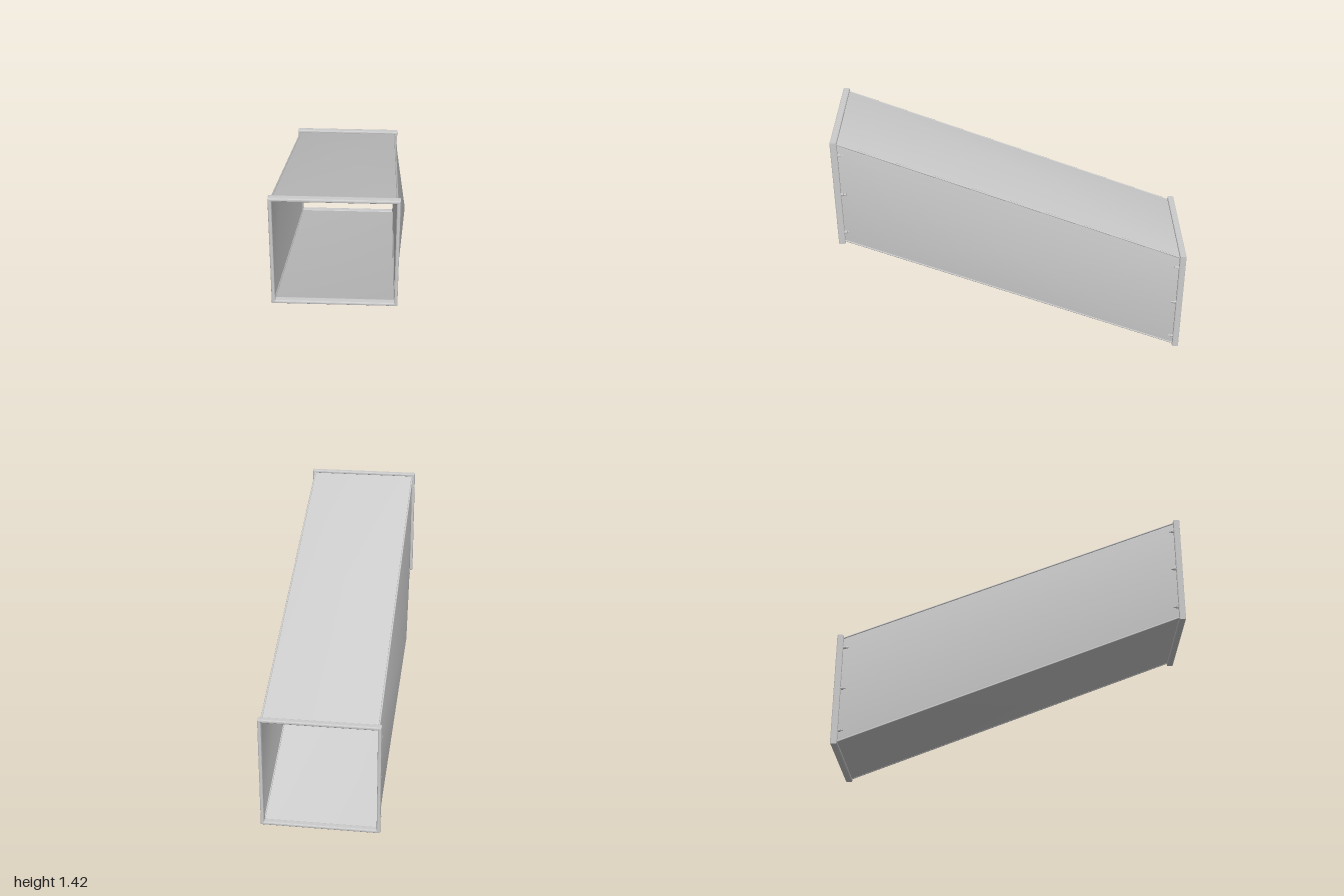
import * as THREE from 'three';

const HALF = 0.315;        // half width of the duct
const MID = 0.71;          // height of the duct centre
const RISE = 0.378;        // offset of each end opening from the centre
const END = 0.965;         // z where the panels meet the end frames
const BULGE = 0.06;        // outward swell at the centre of each panel

const steel = new THREE.MeshStandardMaterial({ color: 0xcccccc, side: THREE.DoubleSide });

function add(parent, name, geometry, x = 0, y = 0, z = 0) {
  const mesh = new THREE.Mesh(geometry, steel);
  mesh.name = name;
  mesh.position.set(x, y, z);
  parent.add(mesh);
  return mesh;
}

// Corner of the duct; sx, sy, sz are each -1 or 1
const corner = (sx, sy, sz) =>
  new THREE.Vector3(sx * HALF, MID + sz * RISE + sy * HALF, sz * END);

// Shallow pyramid panel between two neighbouring long edges
function panel(a, b) {
  const peak = new THREE.Vector3(a[0] + b[0], a[1] + b[1], 0)
    .multiplyScalar(0.5 * (HALF + BULGE));
  peak.y += MID;
  const points = [corner(...a, 1), corner(...b, 1), corner(...b, -1), corner(...a, -1), peak];
  const geometry = new THREE.BufferGeometry().setFromPoints(points);
  geometry.setIndex([0, 4, 1, 1, 4, 2, 2, 4, 3, 3, 4, 0]);
  geometry.computeVertexNormals();
  return geometry;
}

function squarePath(path, half) {
  path.moveTo(-half, -half);
  path.lineTo(half, -half);
  path.lineTo(half, half);
  path.lineTo(-half, half);
  path.closePath();
  return path;
}

// Square end frame with softened edges
function frameGeometry() {
  const bevel = 0.007;
  const shape = squarePath(new THREE.Shape(), 0.331 - bevel);
  shape.holes.push(squarePath(new THREE.Path(), 0.312 + bevel));
  const geometry = new THREE.ExtrudeGeometry(shape, {
    depth: 0.038 - 2 * bevel, bevelSize: bevel, bevelThickness: bevel, bevelSegments: 3,
  });
  return geometry.center();
}

export function createModel() {
  const model = new THREE.Group();
  model.name = 'offsetDuct';

  // Four swollen panels and a folded seam along each corner
  const corners = [[1, 1], [-1, 1], [-1, -1], [1, -1]];
  const names = ['topPanel', 'rightPanel', 'bottomPanel', 'leftPanel'];
  corners.forEach((c, i) => {
    add(model, names[i], panel(corners[(i + 1) % 4], c));
    const edge = new THREE.LineCurve3(corner(...c, 1), corner(...c, -1));
    add(model, 'cornerSeam', new THREE.TubeGeometry(edge, 1, 0.005, 8));
  });

  // End frames, with three bolts behind each side
  const frame = frameGeometry();
  const nut = new THREE.CylinderGeometry(0.009, 0.009, 0.012, 6).rotateX(Math.PI / 2);
  const shank = new THREE.CylinderGeometry(0.005, 0.005, 0.032, 10).rotateX(Math.PI / 2);
  for (const sz of [1, -1]) {
    const y = MID + sz * RISE;
    const end = new THREE.Group();
    end.name = sz > 0 ? 'frontEnd' : 'backEnd';
    model.add(end);
    add(end, 'endFrame', frame, 0, y, sz * 0.981);
    for (const sx of [1, -1]) {
      for (const step of [-1, 0, 1]) {
        const bolt = new THREE.Group();
        bolt.name = 'bolt';
        bolt.position.set(sx * 0.324, y + step * 0.252, sz * 0.95);
        add(bolt, 'nut', nut, 0, 0, sz * 0.003);
        add(bolt, 'shank', shank);
        end.add(bolt);
      }
    }
  }
  return model;
}
